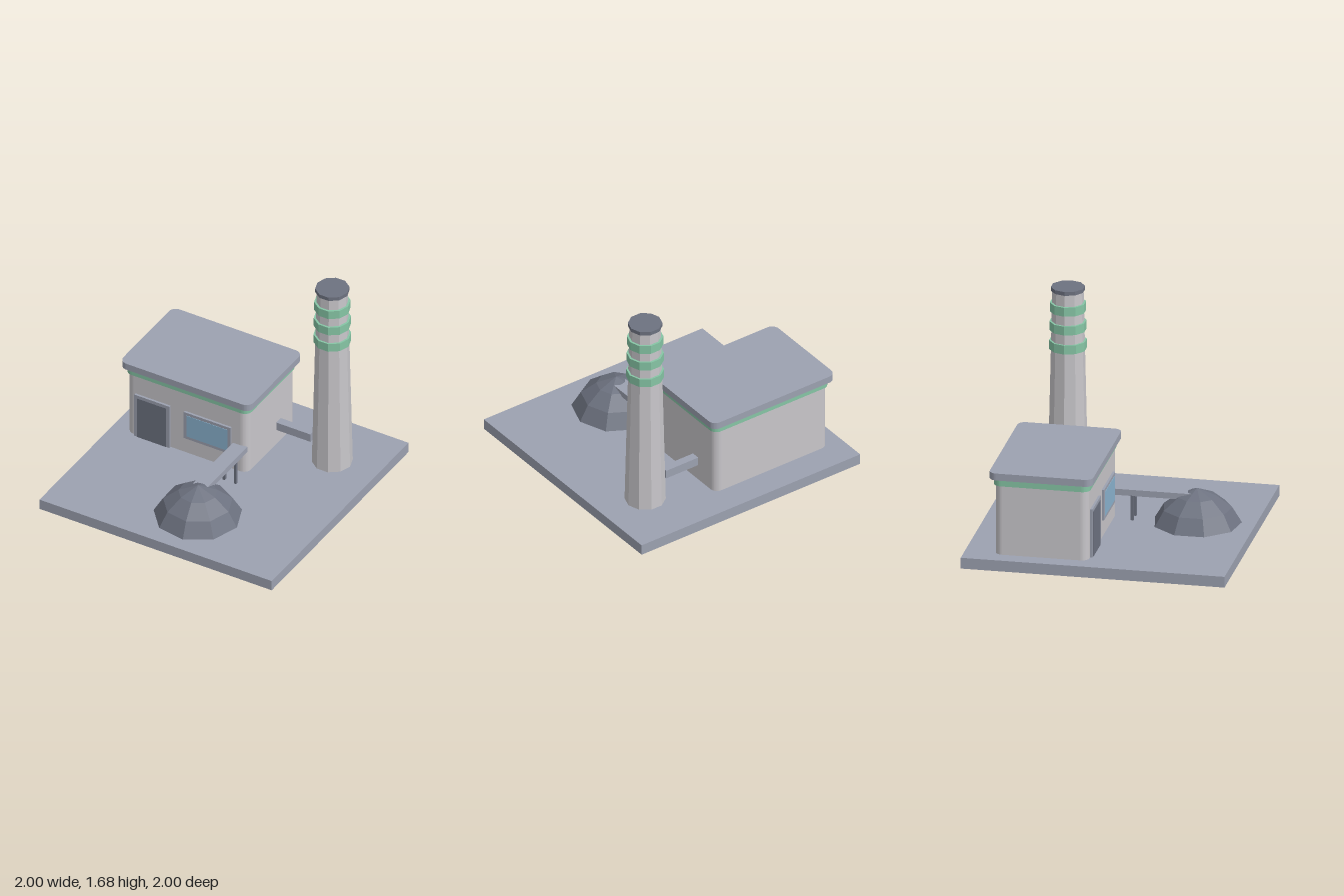
import * as THREE from 'three';

const mat = (name, color) => new THREE.MeshStandardMaterial({ name, color, flatShading: true });

export function createModel() {
  const wall = mat('pale wall', 0xc8c6ca);
  const concrete = mat('blue grey concrete', 0x9ca1b0);
  const dark = mat('dark grey', 0x6d7280);
  const green = mat('mint green', 0x86c5a5);
  const glass = mat('window blue', 0x8ab3cf);

  const model = new THREE.Group();
  model.name = 'powerPlant';

  const add = (name, geometry, material, parent = model) => {
    const mesh = new THREE.Mesh(geometry, material);
    mesh.name = name;
    parent.add(mesh);
    return mesh;
  };

  // Box given by its limits on each axis
  const box = (name, [x0, x1], [y0, y1], [z0, z1], material, parent) => {
    const mesh = add(name, new THREE.BoxGeometry(x1 - x0, y1 - y0, z1 - z0), material, parent);
    mesh.position.set((x0 + x1) / 2, (y0 + y1) / 2, (z0 + z1) / 2);
    return mesh;
  };

  // Upright slab with rounded vertical corners
  const slab = (name, halfX, halfZ, radius, y0, y1, material, parent) => {
    const s = new THREE.Shape();
    const a = halfX - radius, b = halfZ - radius;
    s.absarc(a, b, radius, 0, Math.PI / 2);
    s.absarc(-a, b, radius, Math.PI / 2, Math.PI);
    s.absarc(-a, -b, radius, Math.PI, Math.PI * 1.5);
    s.absarc(a, -b, radius, Math.PI * 1.5, Math.PI * 2);
    const g = new THREE.ExtrudeGeometry(s, { depth: y1 - y0, bevelEnabled: false, curveSegments: 4 });
    g.rotateX(-Math.PI / 2);
    g.translate(0, y0, 0);
    return add(name, g, material, parent);
  };

  const ground = 0.085;
  box('basePlate', [-1, 1], [0, ground], [-1, 1], concrete);

  // Main hall
  const hall = new THREE.Group();
  hall.name = 'hall';
  hall.position.set(-0.356, 0, -0.416);
  model.add(hall);
  slab('hallWalls', 0.518, 0.355, 0.06, ground, 0.64, wall, hall);
  slab('hallBand', 0.531, 0.365, 0.06, 0.63, 0.685, green, hall);
  slab('hallRoof', 0.56, 0.392, 0.06, 0.685, 0.74, concrete, hall);

  // Door and window on the front wall
  const frameZ = [-0.075, -0.043], panelZ = [-0.046, -0.04];
  box('doorFrame', [-0.8, -0.495], [ground, 0.465], frameZ, concrete);
  box('doorPanel', [-0.772, -0.523], [ground, 0.44], panelZ, dark);
  box('windowFrame', [-0.372, 0.03], [0.225, 0.465], frameZ, concrete);
  box('windowGlass', [-0.348, 0.006], [0.25, 0.44], panelZ, glass);

  // Ten-sided chimney with painted rings and a cap
  const chimney = new THREE.Group();
  chimney.name = 'chimney';
  chimney.position.set(0.624, 0, -0.524);
  model.add(chimney);
  const drum = (name, rTop, rBottom, y0, y1, material) => {
    const g = new THREE.CylinderGeometry(rTop, rBottom, y1 - y0, 10, 1, false, Math.PI / 2);
    add(name, g, material, chimney).position.y = (y0 + y1) / 2;
  };
  drum('chimneyStack', 0.117, 0.153, ground, 1.655, wall);
  [[1.19, 0.141], [1.34, 0.139], [1.488, 0.136]].forEach(([y, r], i) =>
    drum('chimneyRing' + (i + 1), r, r, y, y + 0.07, green));
  drum('chimneyCap', 0.128, 0.128, 1.65, 1.68, dark);

  // Duct towards the chimney
  box('duct', [0.15, 0.455], [0.214, 0.282], [-0.556, -0.49], concrete);

  // Conveyor on two legs, ending in the heap
  box('conveyor', [0.042, 0.16], [0.277, 0.325], [-0.07, 0.54], concrete);
  for (const x of [0.052, 0.15]) {
    box('conveyorLeg', [x - 0.01, x + 0.01], [ground, 0.28], [0.072, 0.094], dark);
  }

  // Nine-sided faceted heap
  const profile = [[0.333, ground], [0.262, 0.203], [0.147, 0.294], [0, 0.355]]
    .map(([r, y]) => new THREE.Vector2(r, y));
  const heap = add('heap', new THREE.LatheGeometry(profile, 9, 0.19), dark);
  heap.position.set(0.106, 0, 0.562);

  return model;
}
